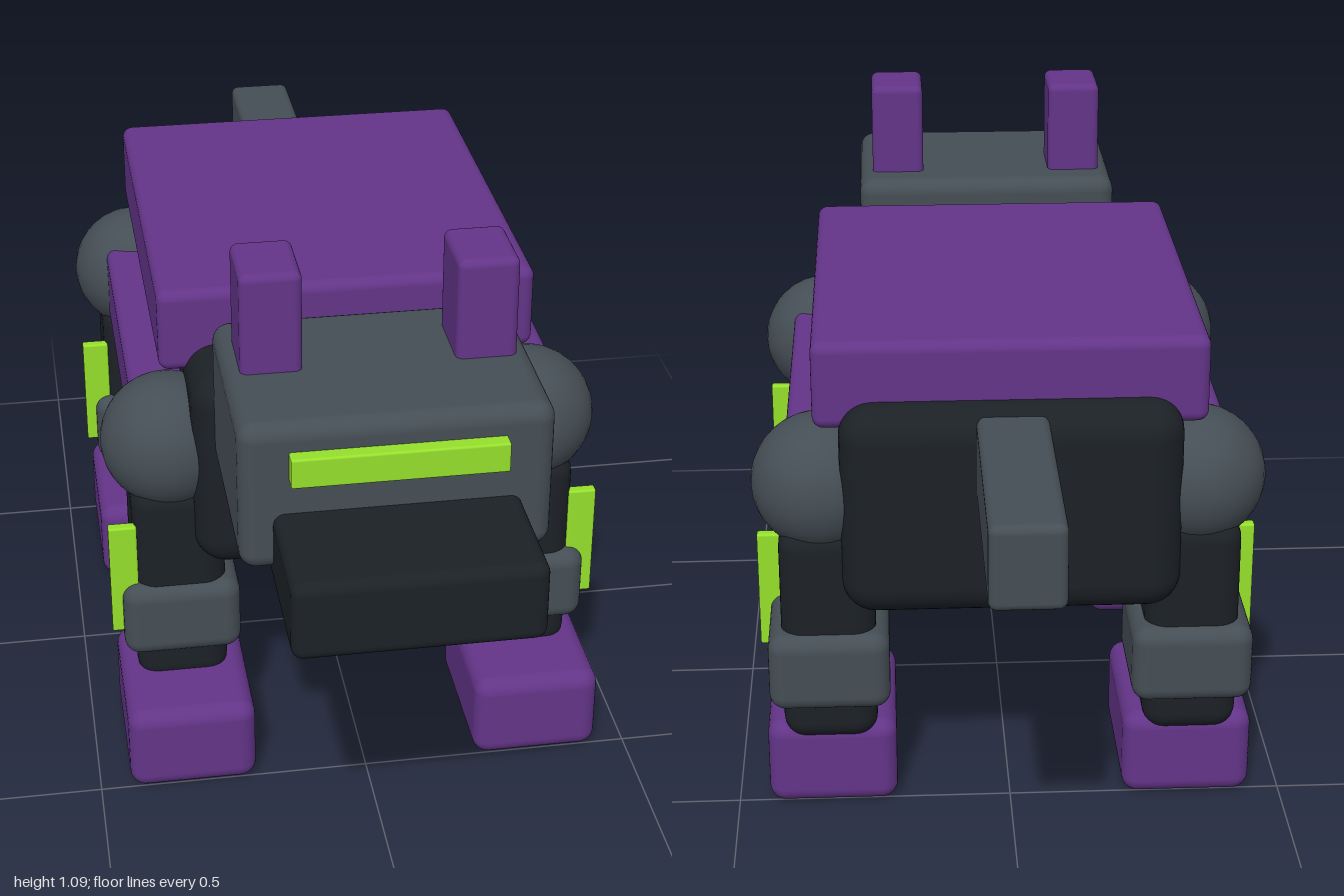
import * as THREE from 'three';
import { RoundedBoxGeometry } from 'three/addons/geometries/RoundedBoxGeometry.js';

const paint = (color) => new THREE.MeshStandardMaterial({ color });

export function createModel() {
  const purple = paint(0x633488);
  const dark = paint(0x1c2126);
  const grey = paint(0x454e55);
  const green = paint(0x96e02c);

  const model = new THREE.Group();
  model.name = 'robotDog';

  // Rounded block given by its [min, max] range on each axis
  function block(parent, name, material, [x0, x1], [y0, y1], [z0, z1], radius) {
    const geometry = new RoundedBoxGeometry(x1 - x0, y1 - y0, z1 - z0, 4, radius);
    const mesh = new THREE.Mesh(geometry, material);
    mesh.name = name;
    mesh.position.set((x0 + x1) / 2, (y0 + y1) / 2, (z0 + z1) / 2);
    parent.add(mesh);
    return mesh;
  }

  // Same, with the x range mirrored for the right side
  function sided(parent, name, material, side, [x0, x1], y, z, radius) {
    const x = side > 0 ? [x0, x1] : [-x1, -x0];
    return block(parent, name, material, x, y, z, radius);
  }

  // Torso and back plate
  block(model, 'body', dark, [-0.3, 0.3], [0.41, 0.8], [-0.585, 0.425], 0.06);
  block(model, 'backPlate', purple, [-0.345, 0.345], [0.748, 0.907], [-0.518, 0.27], 0.02);

  // Head
  const head = new THREE.Group();
  head.name = 'head';
  model.add(head);
  block(head, 'skull', grey, [-0.262, 0.262], [0.642, 0.914], [0.388, 0.782], 0.03);
  block(head, 'snout', dark, [-0.207, 0.207], [0.61, 0.752], [0.71, 1], 0.02);
  block(head, 'visor', green, [-0.18, 0.18], [0.813, 0.867], [0.765, 0.808], 0.004);

  // Tail
  block(model, 'tail', grey, [-0.063, 0.063], [0.639, 0.787], [-1, -0.55], 0.015);

  for (const side of [1, -1]) {
    const label = side > 0 ? 'left' : 'right';
    sided(head, label + 'Ear', purple, side, [0.13, 0.235], [0.87, 1.094], [0.46, 0.6], 0.014);
    sided(model, label + 'SidePanel', purple, side, [0.27, 0.398], [0.545, 0.7], [-0.4, 0.24], 0.02);

    // Legs, front and back
    for (const [end, z] of [['Front', 0.28], ['Back', -0.44]]) {
      const leg = new THREE.Group();
      leg.name = label + end + 'Leg';
      model.add(leg);

      const joint = new THREE.Mesh(new THREE.SphereGeometry(0.124, 32, 20), grey);
      joint.name = 'shoulderJoint';
      joint.position.set(side * 0.335, 0.621, z + 0.002);
      leg.add(joint);

      sided(leg, 'shank', dark, side, [0.242, 0.412], [0.14, 0.56], [z - 0.097, z + 0.097], 0.04);
      sided(leg, 'kneeGuard', grey, side, [0.218, 0.436], [0.214, 0.362], [z - 0.12, z + 0.115], 0.03);
      sided(leg, 'foot', purple, side, [0.208, 0.444], [0, 0.167], [z - 0.08, z + 0.235], 0.03);
      sided(leg, 'lightStrip', green, side, [0.405, 0.457], [0.26, 0.484], [z + 0.064, z + 0.085], 0.004);
    }
  }

  return model;
}
